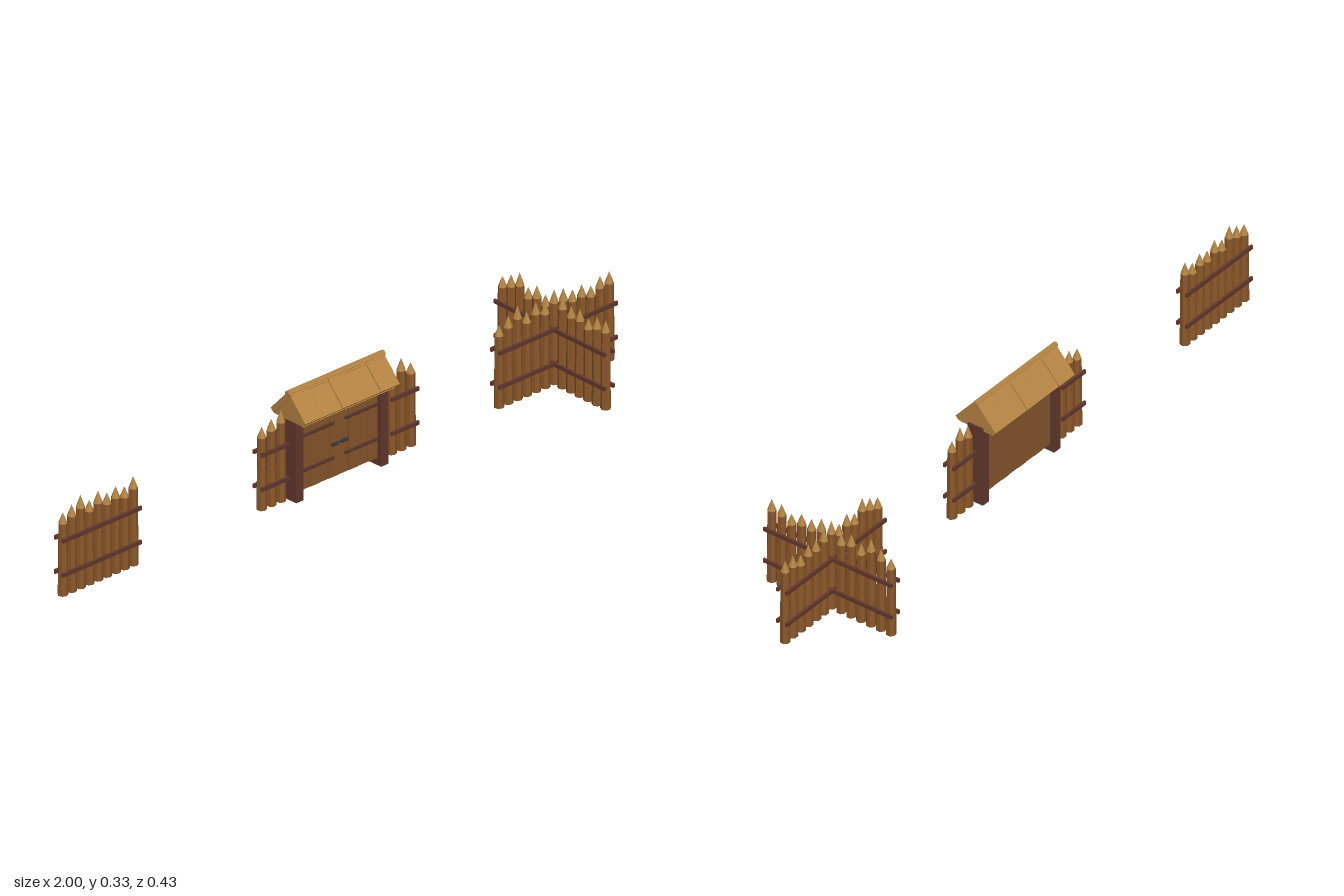
import * as THREE from 'three';

const mat = (name, color, flat = true) => {
  const m = new THREE.MeshStandardMaterial({ color, flatShading: flat });
  m.name = name;
  return m;
};

export function createModel() {
  const stakeWood = mat('stakeWood', 0x8b5729);
  const paleWood = mat('paleWood', 0xb58443);
  const darkWood = mat('darkWood', 0x62372c);
  const doorWood = mat('doorWood', 0x87552b);
  const iron = mat('iron', 0x3c3835);

  const model = new THREE.Group();
  model.name = 'palisade';

  const add = (parent, name, geo, material, x = 0, y = 0, z = 0) => {
    const m = new THREE.Mesh(geo, material);
    m.name = name;
    m.position.set(x, y, z);
    parent.add(m);
    return m;
  };
  const box = (parent, name, material, w, h, d, x, y, z) =>
    add(parent, name, new THREE.BoxGeometry(w, h, d), material, x, y, z);

  // Sharpened stake: tapered shaft with a pale pointed tip
  const BASE = 0.011;
  const stake = (parent, x, top, i) => {
    const tip = 0.03 + (top - 0.25) * 0.2;
    const h = top - tip - BASE;
    const g = new THREE.Group();
    g.name = 'stake';
    g.position.x = x;
    g.rotation.y = i * 0.9;
    add(g, 'stakeShaft', new THREE.CylinderGeometry(0.0125, 0.0145, h, 7), stakeWood, 0, BASE + h / 2);
    add(g, 'stakeTip', new THREE.ConeGeometry(0.0125, tip, 7), paleWood, 0, top - tip / 2);
    parent.add(g);
  };

  // Row of stakes along x, tied by two rails on each face
  const fence = (parent, name, cx, spacing, tops, skip = -1) => {
    const g = new THREE.Group();
    g.name = name;
    g.position.x = cx;
    const half = ((tops.length - 1) * spacing) / 2;
    tops.forEach((top, i) => { if (i !== skip) stake(g, i * spacing - half, top, i); });
    for (const y of [0.078, 0.179])
      for (const s of [-1, 1])
        box(g, 'rail', darkWood, half * 2 + 0.03, 0.011, 0.007, 0, y, s * 0.0153);
    parent.add(g);
    return g;
  };

  // Straight panel
  fence(model, 'straightFence', -0.8585, 0.0317,
    [0.254, 0.267, 0.284, 0.258, 0.274, 0.257, 0.265, 0.253, 0.272]);

  // Crossing panels
  const crossTops = [0.253, 0.27, 0.288, 0.258, 0.275, 0.261, 0.288, 0.281, 0.265, 0.268, 0.253, 0.27, 0.272];
  const cross = new THREE.Group();
  cross.name = 'crossFence';
  cross.position.x = 0.786;
  model.add(cross);
  fence(cross, 'crossFenceAcross', 0, 0.0331, crossTops);
  fence(cross, 'crossFenceDeep', 0, 0.0331, crossTops, 6).rotation.y = -Math.PI / 2 + Math.PI;
  cross.children[1].rotation.y = Math.PI / 2;
  cross.children[1].scale.x = -1;
  cross.children[1].scale.z = -1;

  // Gate with a short fence on each side
  const gate = new THREE.Group();
  gate.name = 'gate';
  model.add(gate);
  fence(gate, 'gateFenceRight', -0.234, 0.0345, [0.254, 0.266, 0.281]);
  fence(gate, 'gateFenceLeft', 0.234, 0.0345, [0.266, 0.281, 0.256]);
  for (const s of [-1, 1])
    box(gate, 'gatePost', darkWood, 0.027, 0.236, 0.048, s * 0.153, 0.118, 0);
  box(gate, 'lintel', darkWood, 0.34, 0.024, 0.05, 0, 0.237, 0);

  // Planked door leaves
  const plankW = 0.279 / 8;
  for (let i = 0; i < 8; i++)
    box(gate, 'doorPlank', doorWood, plankW - 0.0012, 0.204, 0.02 + (i % 2) * 0.002,
      (i - 3.5) * plankW, 0.124, 0);

  // Hinge straps with studs, and handles
  for (const s of [-1, 1]) {
    for (const y of [0.08, 0.183]) {
      box(gate, 'hingeStrap', darkWood, 0.115, 0.009, 0.005, s * 0.078, y, 0.0125);
      for (let k = 0; k < 4; k++)
        box(gate, 'strapStud', iron, 0.005, 0.005, 0.003, s * (0.03 + k * 0.032), y, 0.0162);
    }
    box(gate, 'doorHandle', iron, 0.024, 0.007, 0.008, s * 0.0165, 0.12, 0.0145);
  }

  // Gabled roof: solid core, slanting boards and a ridge beam
  const roof = new THREE.Group();
  roof.name = 'roof';
  roof.position.x = -0.003;
  gate.add(roof);
  const gable = new THREE.Shape([[-0.056, 0.239], [0.056, 0.239], [0, 0.306]]
    .map(([a, b]) => new THREE.Vector2(a, b)));
  const core = new THREE.ExtrudeGeometry(gable, { depth: 0.336, bevelEnabled: false });
  core.translate(0, 0, -0.168).rotateY(Math.PI / 2);
  add(roof, 'gableCore', core, paleWood);

  const run = 0.067, drop = 0.073, len = Math.hypot(run, drop), thick = 0.016;
  const angle = Math.atan2(drop, run);
  const boardW = 0.342 / 5;
  for (const s of [-1, 1])
    for (let i = 0; i < 5; i++) {
      const t = thick - (i % 2) * 0.0015;
      const lift = t / 2 + (i % 2) * 0.0015;
      const b = box(roof, 'roofBoard', paleWood, boardW - 0.0015, t, len, (i - 2) * boardW,
        0.325 - drop / 2 - lift * Math.cos(angle),
        s * (run / 2 - lift * Math.sin(angle)));
      b.rotation.x = s * angle;
    }
  const ridge = new THREE.CylinderGeometry(0.0085, 0.0085, 0.348, 6);
  ridge.rotateZ(Math.PI / 2);
  add(roof, 'ridgeBeam', ridge, paleWood, 0, 0.319, 0);

  return model;
}
